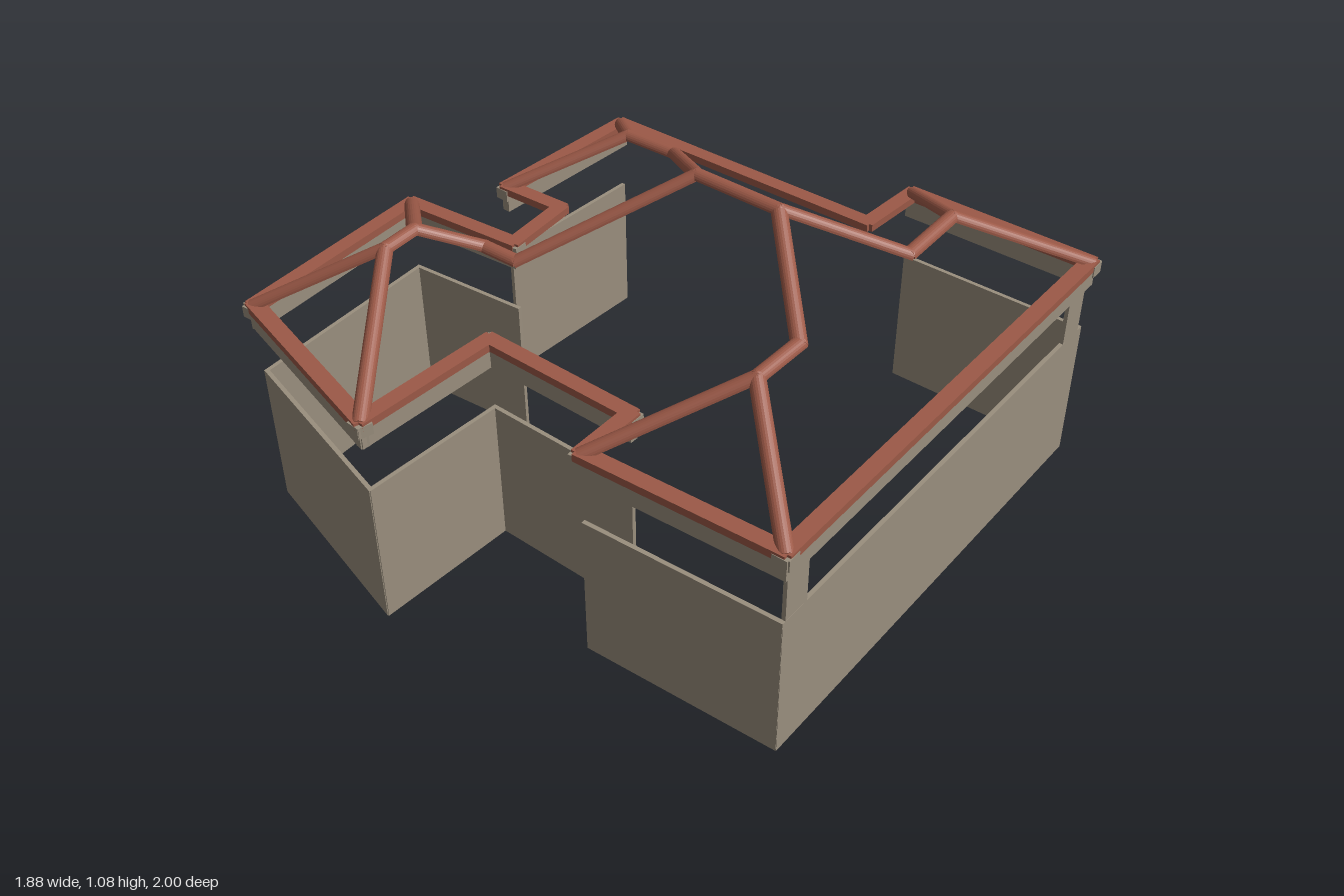
import * as THREE from 'three';

export function createModel() {
  const group = new THREE.Group();
  const stone = new THREE.MeshStandardMaterial({ color: 0x9a8f7e });
  stone.name = 'warm grey';
  const tile = new THREE.MeshStandardMaterial({ color: 0x9c5947 });
  tile.name = 'terracotta';

  // Floor plan corners [x, z]
  const P = {
    A: [0.706, -0.976], B: [0.907, 0.532], C: [0.315, 0.643], D: [0.288, 0.452],
    E: [-0.212, 0.512], F: [-0.172, 0.966], G: [-0.796, 0.881], H: [-0.918, 0.246],
    I: [-0.53, 0.163], J: [-0.58, -0.06], K: [-0.788, -0.024], L: [-0.833, -0.542],
    M: [0.124, -0.669], N: [0.108, -0.897],
  };
  // Ridge nodes [x, y, z]
  const R = {
    r1: [0.447, 0.889, -0.632], r2: [0.484, 0.889, -0.4], r3: [0.262, 1.057, -0.114],
    r4: [-0.013, 1.057, -0.082], r5: [-0.31, 0.82, 0.325], r6: [-0.43, 0.82, 0.343],
    r7: [-0.548, 0.889, 0.49], r8: [-0.526, 0.889, 0.606], r9: [-0.389, 0.85, -0.357],
    r10: [-0.563, 0.85, -0.33], r11: [0.548, 0.889, 0.108], r12: [0.569, 0.889, 0.283],
  };

  // Upright slab running along the plan edge a-b
  function slab(name, a, b, y0, y1, width, extend, material) {
    const dx = b[0] - a[0], dz = b[1] - a[1];
    const mesh = new THREE.Mesh(
      new THREE.BoxGeometry(Math.hypot(dx, dz) + 2 * extend, y1 - y0, width), material);
    mesh.position.set((a[0] + b[0]) / 2, (y0 + y1) / 2, (a[1] + b[1]) / 2);
    mesh.rotation.y = -Math.atan2(dz, dx);
    mesh.name = name;
    group.add(mesh);
  }

  // Half-round ridge tile between two points
  function ridge(name, a, b) {
    const from = new THREE.Vector3(...a), to = new THREE.Vector3(...b);
    const along = to.clone().sub(from);
    const length = along.length();
    along.normalize();
    const side = new THREE.Vector3(0, 1, 0).cross(along).normalize();
    const up = along.clone().cross(side);
    const shape = new THREE.Shape();
    shape.absarc(0, 0, 0.023, 0, Math.PI, false);
    const geometry = new THREE.ExtrudeGeometry(shape,
      { depth: length + 0.012, bevelEnabled: false, curveSegments: 6 });
    geometry.translate(0, 0, -0.006);
    geometry.applyMatrix4(new THREE.Matrix4().makeBasis(side, up, along).setPosition(from));
    const mesh = new THREE.Mesh(geometry, tile);
    mesh.name = name;
    group.add(mesh);
  }

  // Low walls
  for (const [a, b] of ['AB', 'BC', 'DE', 'EF', 'FG', 'GH', 'HI', 'KL', 'NA']) {
    slab('wall', P[a], P[b], 0, 0.47, 0.013, 0.005, stone);
  }

  // Window piers at both ends of the long side wall
  const lerp = (t) => [0, 1].map((i) => P.A[i] + (P.B[i] - P.A[i]) * t);
  slab('windowPier', lerp(0.012), lerp(0.072), 0.47, 0.63, 0.012, 0, stone);
  slab('windowPier', lerp(0.936), lerp(0.996), 0.47, 0.63, 0.012, 0, stone);

  // Fascia boards and gutters
  for (const [a, b] of ['AB', 'BC', 'DE', 'EF', 'FG', 'GH', 'HI', 'KL', 'NA']) {
    slab('fascia', P[a], P[b], 0.622, 0.67, 0.026, 0.012, stone);
    slab('gutter', P[a], P[b], 0.668, 0.704, 0.045, 0.026, stone);
  }

  // Eave tiles all around the plan
  const corners = Object.values(P);
  corners.forEach((a, i) => {
    slab('eaveTile', a, corners[(i + 1) % corners.length], 0.688, 0.712, 0.048, 0.012, tile);
  });

  // Sloping hips from the eave corners
  const hips = { A: 'r1', N: 'r1', B: 'r12', C: 'r12', F: 'r8', G: 'r8', H: 'r7', L: 'r10', K: 'r10' };
  for (const [corner, node] of Object.entries(hips)) {
    ridge('hipTile', [P[corner][0], 0.697, P[corner][1]], R[node]);
  }

  // Ridges joining the nodes
  const ridges = [['r1', 'r2'], ['r2', 'r3'], ['r3', 'r4'], ['r3', 'r11'], ['r11', 'r12'],
    ['r4', 'r9'], ['r9', 'r10'], ['r4', 'r5'], ['r5', 'r6'], ['r6', 'r7'], ['r7', 'r8']];
  for (const [a, b] of ridges) ridge('ridgeTile', R[a], R[b]);

  return group;
}
